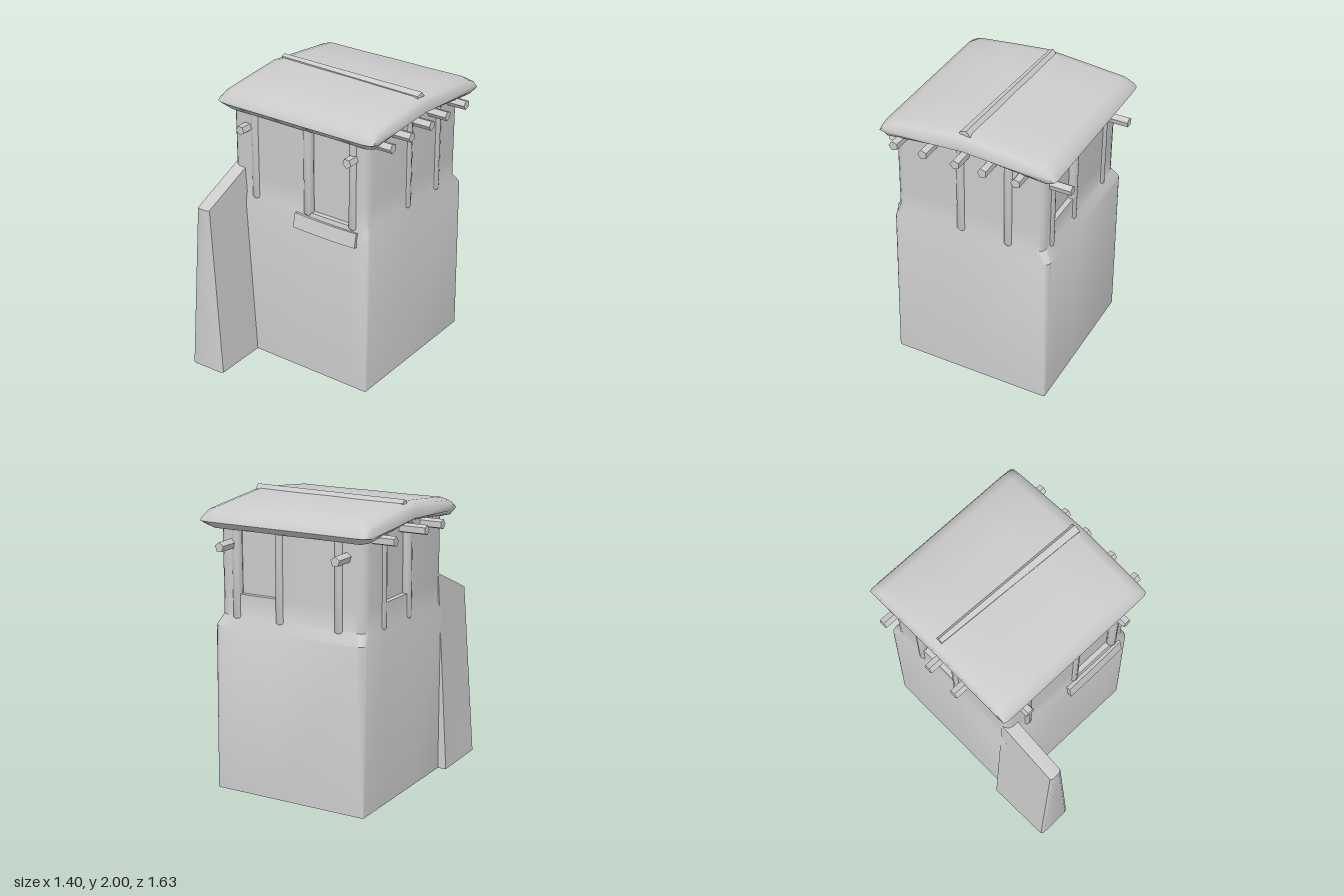
import * as THREE from 'three';
import { toCreasedNormals } from 'three/addons/utils/BufferGeometryUtils.js';

const mat = new THREE.MeshStandardMaterial({ color: 0xcccccc, side: THREE.DoubleSide });
const flat = new THREE.MeshStandardMaterial({ color: 0xcccccc, flatShading: true });

function add(parent, name, geometry, material = mat) {
  const mesh = new THREE.Mesh(geometry, material);
  mesh.name = name;
  parent.add(mesh);
  return mesh;
}

// Skin closed rings of [x, y, z] points, optionally capping both ends
function loft(rings, capped, crease) {
  const pos = [];
  const tri = (...p) => p.forEach((v) => pos.push(...v));
  const n = rings[0].length;
  for (let j = 0; j < rings.length - 1; j++) {
    for (let i = 0; i < n; i++) {
      const k = (i + 1) % n;
      const a = rings[j][i], b = rings[j][k], c = rings[j + 1][k], d = rings[j + 1][i];
      tri(a, b, c);
      tri(a, c, d);
    }
  }
  if (capped) {
    [rings[0], rings[rings.length - 1]].forEach((ring, end) => {
      const mid = [0, 1, 2].map((q) => ring.reduce((s, p) => s + p[q], 0) / n);
      for (let i = 0; i < n; i++) {
        const k = (i + 1) % n;
        if (end) tri(ring[i], ring[k], mid);
        else tri(ring[k], ring[i], mid);
      }
    });
  }
  const g = new THREE.BufferGeometry();
  g.setAttribute('position', new THREE.Float32BufferAttribute(pos, 3));
  return toCreasedNormals(g, crease);
}

// Horizontal wall outline with rounded corners and window recesses
function wallRing({ y, hx, zc, hz, c, front = 0, back = 0, side = 0, gable = 0 }) {
  const x0 = 0.004 - hx, x1 = 0.004 + hx, z0 = zc - hz, z1 = zc + hz;
  const pts = [];
  const put = (x, z) => pts.push([x, y + gable * (1 - Math.abs(z + 0.12) / 0.56), z]);
  const corner = (x, z, start) => {
    for (let s = 0; s <= 3; s++) {
      const a = start + (s / 3) * Math.PI / 2;
      put(x + c * Math.cos(a), z - c * Math.sin(a));
    }
  };
  const recess = (from, to, depth, place) => {
    place(from, 0); place(from, depth); place(to, depth); place(to, 0);
  };
  corner(x0 + c, z1 - c, Math.PI);
  recess(0.10, 0.42, front, (t, d) => put(t, z1 - d));
  corner(x1 - c, z1 - c, -Math.PI / 2);
  put(x1, -0.12);
  corner(x1 - c, z0 + c, 0);
  recess(0.41, 0.10, back, (t, d) => put(t, z0 + d));
  corner(x0 + c, z0 + c, Math.PI / 2);
  recess(-0.41, -0.09, side, (t, d) => put(x0 + d, t));
  return pts;
}

// Five-sided pole between two points
function pole(parent, name, a, b, r0, r1 = r0) {
  const from = new THREE.Vector3(...a), to = new THREE.Vector3(...b);
  const dir = to.clone().sub(from);
  const mesh = add(parent, name, new THREE.CylinderGeometry(r1, r0, dir.length(), 5), flat);
  mesh.position.copy(from).add(to).multiplyScalar(0.5);
  mesh.quaternion.setFromUnitVectors(new THREE.Vector3(0, 1, 0), dir.normalize());
  return mesh;
}

export function createModel() {
  const model = new THREE.Group();
  model.name = 'tower';
  const tower = new THREE.Group();
  tower.name = 'towerBody';
  tower.rotation.y = -0.02;
  model.add(tower);

  // Walls: broad base, shoulder, narrower upper storey, open underneath
  const low = { hx: 0.565, zc: -0.15, hz: 0.57, c: 0.04 };
  const high = { hx: 0.545, zc: -0.135, hz: 0.535, c: 0.06 };
  const d = 0.035;
  add(tower, 'walls', loft([
    { ...low, y: 0, c: 0.012 },
    { ...low, y: 1.14 },
    { ...high, y: 1.21 },
    { ...high, y: 1.21, front: d },
    { ...high, y: 1.36, front: d },
    { ...high, y: 1.36, front: d, back: d, side: d },
    { ...high, y: 1.81, front: d, back: d, side: d, gable: 0.06 },
  ].map(wallRing), false, 0.65));

  // Pointed half-sunk wall posts
  const post = (x, z) => {
    const shape = [[0.001, 1.15], [0.035, 1.2], [0.035, 1.83]].map((p) => new THREE.Vector2(...p));
    const m = add(tower, 'wallPost', toCreasedNormals(new THREE.LatheGeometry(shape, 8), 0.9));
    m.position.set(x, 0, z);
  };
  for (const x of [-0.35, 0.08, 0.44]) post(x, 0.382);
  for (const x of [-0.35, 0.09, 0.42]) post(x, -0.652);
  for (const z of [-0.42, -0.08]) {
    post(0.531, z);
    post(-0.523, z);
  }

  // Projecting beam ends
  for (const z of [0.32, 0.11, -0.12, -0.31, -0.54]) {
    pole(tower, 'sideBeam', [0.5, 1.8, z], [0.69, 1.8, z], 0.034);
  }
  for (const z of [0.09, -0.14, -0.56]) {
    pole(tower, 'sideBeam', [-0.5, 1.8, z], [-0.695, 1.8, z], 0.034);
  }
  for (const x of [-0.41, 0.45]) {
    pole(tower, 'frontBeam', [x, 1.69, 0.34], [x, 1.69, 0.48], 0.034);
    pole(tower, 'backBeam', [x, 1.69, -0.6], [x, 1.69, -0.815], 0.034);
  }

  // Padded low-pitched roof: [z, y] section swept along x
  const section = [
    [-0.69, 1.925], [-0.42, 1.95], [-0.12, 1.975], [0.14, 1.95], [0.39, 1.922],
    [0.445, 1.89], [0.462, 1.84], [0.41, 1.79],
    [0.14, 1.818], [-0.12, 1.842], [-0.42, 1.815], [-0.71, 1.79],
    [-0.778, 1.84], [-0.755, 1.89],
  ];
  const midY = (z) => 1.91 - 0.1 * Math.abs(z + 0.12);
  const stations = [
    [-0.612, 0.3, 0.985], [-0.59, 0.75, 0.995], [-0.53, 1, 1], [-0.25, 0.97, 1],
    [0, 1, 1], [0.25, 0.97, 1], [0.55, 1, 1], [0.61, 0.75, 0.995], [0.632, 0.3, 0.985],
  ];
  add(tower, 'roof', loft(stations.map(([x, sy, sz]) => section.map(([z, y]) =>
    [x, midY(z) + (y - midY(z)) * sy, -0.158 + (z + 0.158) * sz])), true, 0.9));

  // Tapering ridge pole lying across the roof
  const ridge = pole(model, 'ridgePole', [-0.55, 1.967, -0.187], [0.59, 1.957, -0.125], 0.027, 0.042);
  ridge.rotateY(Math.PI);

  // Sloping window shelf, slightly bowed
  const shelfGeo = new THREE.BoxGeometry(0.49, 0.1, 0.028, 6, 1, 1);
  const sp = shelfGeo.attributes.position;
  for (let i = 0; i < sp.count; i++) {
    const u = sp.getX(i) / 0.245;
    sp.setY(i, sp.getY(i) + 0.006 * u * u);
  }
  shelfGeo.computeVertexNormals();
  const shelf = add(model, 'windowShelf', toCreasedNormals(shelfGeo, 0.6));
  shelf.position.set(0.235, 1.133, 0.433);
  shelf.rotation.set(-0.2, 0, -0.02);

  // Tapering buttress with sloped top
  const buttressRing = (x0, x1, front, yFront, yBack) => [
    [x0, yBack, 0.34], [x0, yFront, front - 0.012], [x0 + 0.02, yFront, front],
    [x1 - 0.02, yFront, front], [x1, yFront, front - 0.012], [x1, yBack, 0.34],
  ];
  add(model, 'buttress', loft([
    buttressRing(-0.63, -0.37, 0.81, 0, 0),
    buttressRing(-0.545, -0.45, 0.79, 1.22, 1.405),
  ], true, 0.6));

  return model;
}
